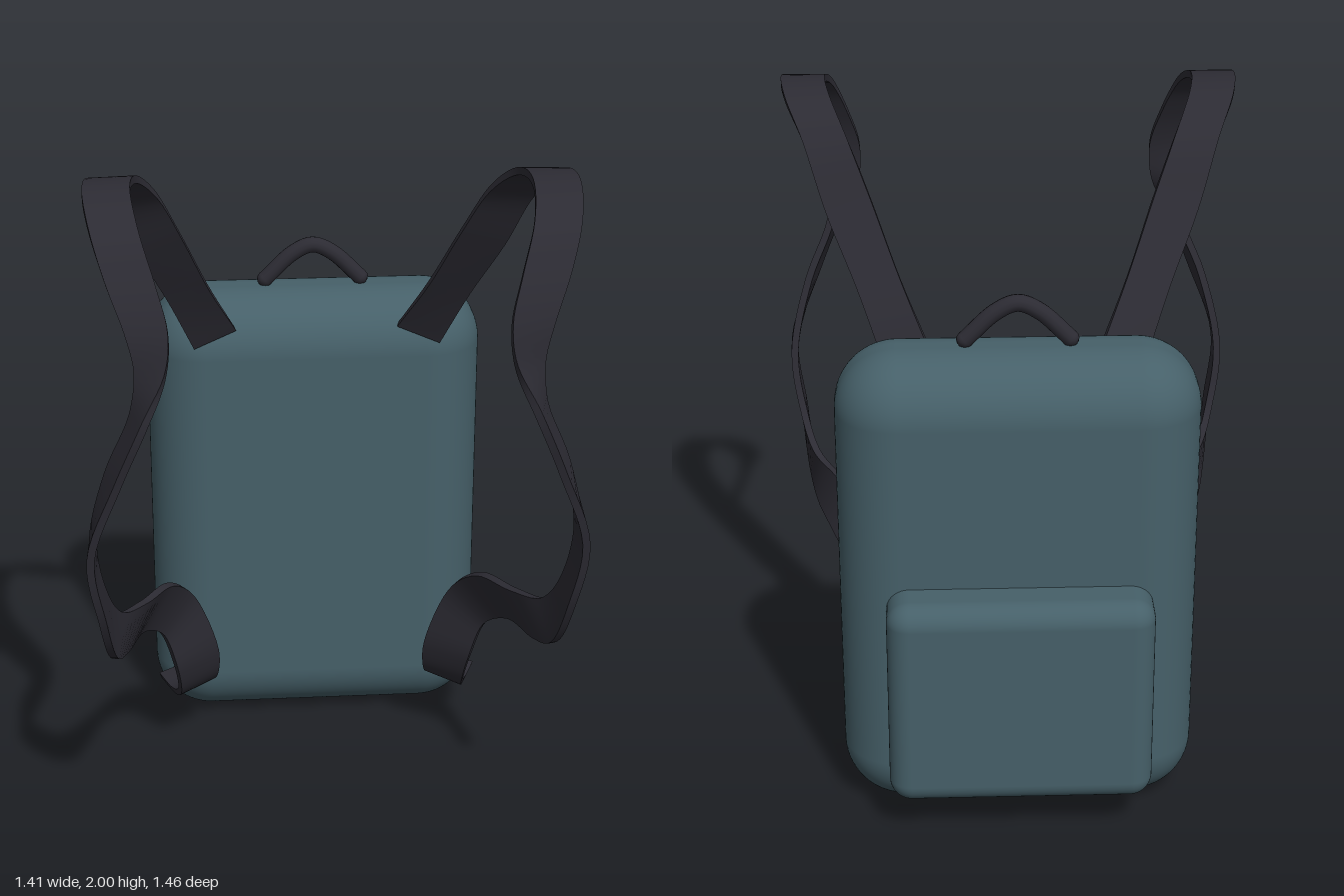
import * as THREE from 'three';
import { RoundedBoxGeometry } from 'three/addons/geometries/RoundedBoxGeometry.js';

// Strap edges from top to bottom: inner x, y, z, outer x, y, z
const STRAP = [
  [0.25, 1.36, -0.22, 0.38, 1.31, -0.20],
  [0.33, 1.53, -0.11, 0.455, 1.50, -0.11],
  [0.41, 1.73, 0.00, 0.54, 1.69, 0.00],
  [0.475, 1.88, 0.09, 0.605, 1.87, 0.10],
  [0.53, 1.97, 0.22, 0.66, 1.965, 0.22],
  [0.55, 1.985, 0.37, 0.68, 1.985, 0.37],
  [0.53, 1.92, 0.54, 0.66, 1.92, 0.54],
  [0.49, 1.80, 0.62, 0.62, 1.80, 0.62],
  [0.46, 1.68, 0.665, 0.575, 1.68, 0.66],
  [0.47, 1.57, 0.69, 0.55, 1.57, 0.66],
  [0.53, 1.44, 0.73, 0.56, 1.44, 0.635],
  [0.61, 1.25, 0.705, 0.635, 1.25, 0.60],
  [0.69, 1.02, 0.67, 0.685, 1.02, 0.55],
  [0.665, 0.80, 0.62, 0.66, 0.83, 0.50],
  [0.64, 0.63, 0.51, 0.62, 0.73, 0.42],
  [0.61, 0.575, 0.37, 0.55, 0.70, 0.30],
  [0.56, 0.555, 0.20, 0.47, 0.675, 0.14],
  [0.50, 0.48, 0.09, 0.40, 0.57, 0.02],
  [0.46, 0.34, 0.05, 0.33, 0.36, -0.03],
  [0.45, 0.22, -0.02, 0.335, 0.25, -0.07],
  [0.47, 0.165, -0.12, 0.36, 0.21, -0.13],
  [0.51, 0.16, -0.23, 0.40, 0.20, -0.24],
];

// Flat band with thickness, swept between two edge curves
function bandGeometry(edgeA, edgeB, thickness, steps) {
  const rings = [];
  const mid = (t) => edgeA.getPoint(t).add(edgeB.getPoint(t)).multiplyScalar(0.5);
  for (let i = 0; i <= steps; i++) {
    const t = i / steps;
    const a = edgeA.getPoint(t), b = edgeB.getPoint(t);
    const tangent = mid(Math.min(1, t + 0.004)).sub(mid(Math.max(0, t - 0.004)));
    const n = b.clone().sub(a).cross(tangent).normalize().multiplyScalar(thickness / 2);
    rings.push([a.clone().add(n), b.clone().add(n), b.clone().sub(n), a.clone().sub(n)]);
  }
  const pos = [], idx = [];
  // Each side has its own vertices, so the band's long edges stay sharp
  for (let s = 0; s < 4; s++) {
    const base = pos.length / 3;
    rings.forEach((r) => pos.push(...r[s].toArray(), ...r[(s + 1) % 4].toArray()));
    for (let i = 0; i < steps; i++) {
      const p = base + i * 2;
      idx.push(p, p + 1, p + 3, p, p + 3, p + 2);
    }
  }
  // End caps
  [[rings[0], false], [rings[steps], true]].forEach(([ring, last]) => {
    const p = pos.length / 3;
    ring.forEach((v) => pos.push(...v.toArray()));
    idx.push(...(last ? [p, p + 1, p + 2, p, p + 2, p + 3] : [p, p + 2, p + 1, p, p + 3, p + 2]));
  });
  const geo = new THREE.BufferGeometry();
  geo.setAttribute('position', new THREE.Float32BufferAttribute(pos, 3));
  geo.setIndex(idx);
  geo.computeVertexNormals();
  return geo;
}

export function createModel() {
  const model = new THREE.Group();
  model.name = 'backpack';
  const fabric = new THREE.MeshStandardMaterial({ color: 0x466069 });
  fabric.name = 'teal fabric';
  const webbing = new THREE.MeshStandardMaterial({ color: 0x2c2b33 });
  webbing.name = 'dark webbing';

  const add = (name, geo, mat, x = 0, y = 0, z = 0) => {
    const mesh = new THREE.Mesh(geo, mat);
    mesh.name = name;
    mesh.position.set(x, y, z);
    model.add(mesh);
  };

  // Main compartment and the pocket on its back
  add('body', new RoundedBoxGeometry(1.04, 1.44, 0.395, 10, 0.18), fabric, 0, 0.72, -0.395);
  add('pocket', new RoundedBoxGeometry(0.765, 0.645, 0.25, 6, 0.065), fabric, 0, 0.447, -0.605);

  // Carry handle with rounded ends
  const arch = new THREE.CatmullRomCurve3(
    [[-0.148, 1.457], [-0.06, 1.54], [0, 1.565], [0.06, 1.54], [0.148, 1.457]]
      .map(([x, y]) => new THREE.Vector3(x, y, -0.395)));
  add('handle', new THREE.TubeGeometry(arch, 32, 0.025, 12), webbing);
  for (const x of [-0.148, 0.148]) {
    add('handleEnd', new THREE.SphereGeometry(0.025, 12, 8), webbing, x, 1.457, -0.395);
  }

  // Shoulder straps, mirrored
  for (const side of [1, -1]) {
    const edge = (k) => new THREE.CatmullRomCurve3(
      STRAP.map((r) => new THREE.Vector3(side * r[k], r[k + 1], r[k + 2])));
    const inner = edge(0), outer = edge(3);
    const geo = side > 0 ? bandGeometry(inner, outer, 0.022, 126) : bandGeometry(outer, inner, 0.022, 126);
    add(side > 0 ? 'leftStrap' : 'rightStrap', geo, webbing);
  }
  return model;
}
